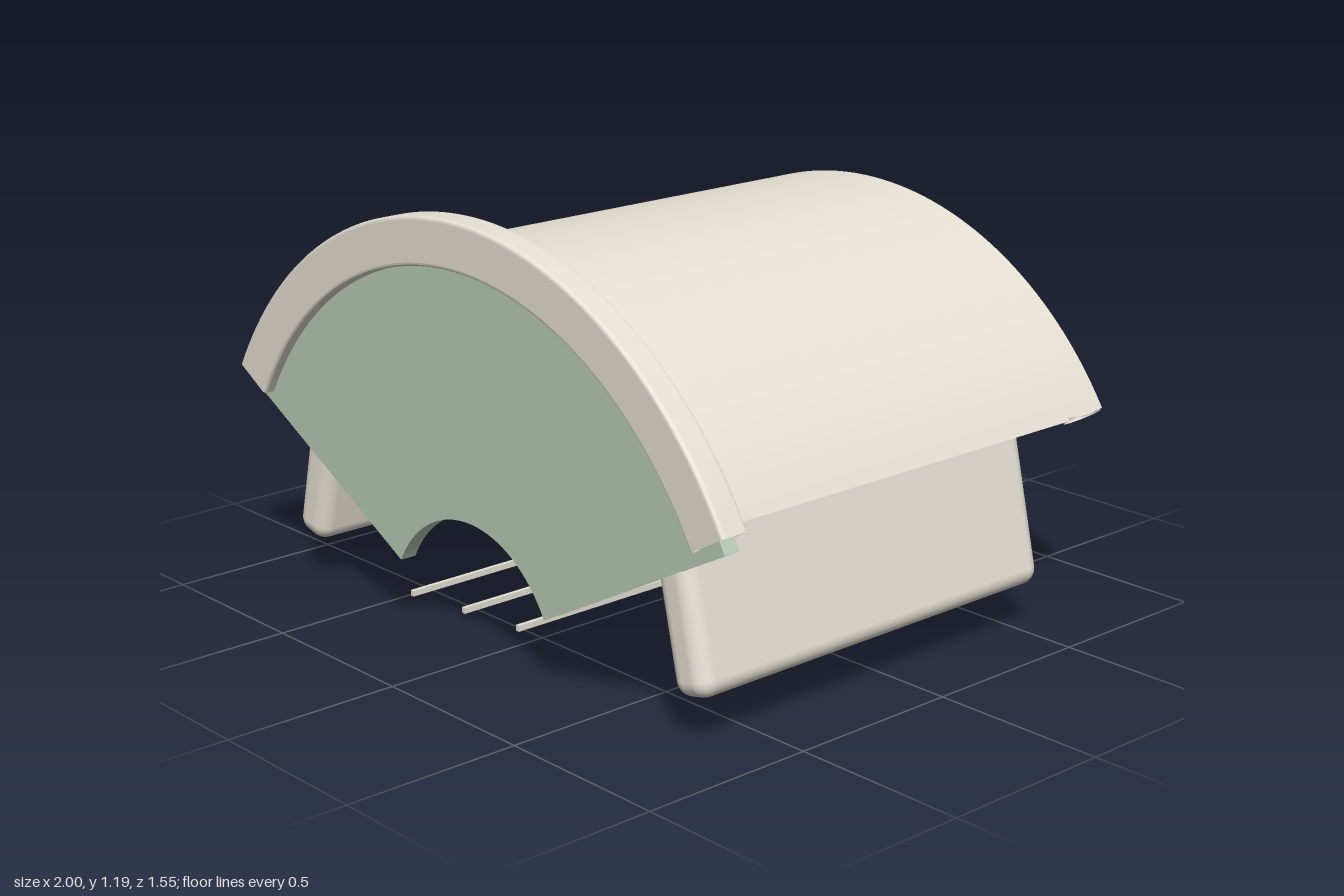
import * as THREE from 'three';
import { toCreasedNormals } from 'three/addons/utils/BufferGeometryUtils.js';
import { RoundedBoxGeometry } from 'three/addons/geometries/RoundedBoxGeometry.js';

const mat = (name, color, side = THREE.FrontSide) =>
  Object.assign(new THREE.MeshStandardMaterial({ color, side }), { name });
const DEG = Math.PI / 180;
const CENTRE_Y = 0.04; // shared centre of every arch

export function createModel() {
  const group = new THREE.Group();
  const cream = mat('cream', 0xe6e0d3, THREE.DoubleSide);
  const green = mat('sage green', 0xb8cbb5, THREE.DoubleSide);
  const tan = mat('tan', 0xe2c68c);
  const dark = mat('dark brown', 0x2e2220);
  const pale = mat('pale grey', 0xc8c6be);

  const add = (name, geometry, material, x = 0, y = 0, z = 0) => {
    const mesh = new THREE.Mesh(geometry, material);
    mesh.name = name;
    mesh.position.set(x, y, z);
    group.add(mesh);
    return mesh;
  };

  // Arch swept around the z axis, open at both ends, with optional rounded edges
  const arch = (name, inner, outer, half, z0, z1, material, bevel = 0) => {
    const corners = [[outer, z0, 1, -1], [outer, z1, 1, 1], [inner, z1, -1, 1], [inner, z0, -1, -1]];
    const points = [];
    corners.forEach(([r, z, sr, sz], i) => {
      for (let k = 0; k <= (bevel ? 3 : 0); k++) {
        const a = (i - 1) * 90 * DEG + k * 30 * DEG;
        points.push(new THREE.Vector2(
          r - sr * bevel + bevel * Math.cos(a),
          z - sz * bevel + bevel * Math.sin(a)));
      }
    });
    points.push(points[0].clone());
    const geo = new THREE.LatheGeometry(points, 64, Math.PI - half * DEG, 2 * half * DEG);
    geo.rotateX(Math.PI / 2);
    return add(name, toCreasedNormals(geo, 0.2), material, 0, CENTRE_Y, 0);
  };

  // Thin rod bent through straight pieces
  const bentRod = (name, points, radius, material) => {
    const path = new THREE.CurvePath();
    const v = points.map(p => new THREE.Vector3(...p));
    for (let i = 1; i < v.length; i++) path.add(new THREE.LineCurve3(v[i - 1], v[i]));
    return add(name, new THREE.TubeGeometry(path, 48, radius, 8), material);
  };

  // Shell
  arch('roof', 0.98, 1.06, 58, -0.72, 0.69, cream);
  arch('roofLining', 0.925, 0.975, 54.5, -0.55, 0.69, cream);
  arch('frontRim', 1.02, 1.152, 60.2, 0.69, 0.772, cream, 0.01);
  arch('frontPanel', 0.343, 1.1, 62, 0.692, 0.74, green);
  const half = 58 * DEG;
  add('rearRoll', new THREE.TorusGeometry(0.98, 0.053, 16, 64, 2 * half), cream, 0, CENTRE_Y, -0.722)
    .rotation.z = Math.PI / 2 - half;

  // Leaning side walls
  for (const s of [-1, 1]) {
    add('sideWall', new RoundedBoxGeometry(0.123, 0.525, 1.245, 4, 0.045), cream, s * 0.746, 0.383, 0.078)
      .rotation.z = s * 0.227;
  }

  // Small pin on the roof by the rim
  add('roofPin', new RoundedBoxGeometry(0.11, 0.03, 0.012, 2, 0.005), pale, 0.155, 1.095, 0.657);

  // Three long floor rods
  for (let i = 0; i < 3; i++) {
    add('floorRod', new THREE.BoxGeometry(0.012, 0.017, 1.07), cream, -0.47 + i * 0.235, 0.017 + i * 0.0165, 0.05);
  }

  // Upright dark disc
  add('disc', new THREE.CylinderGeometry(0.1, 0.1, 0.016, 40), dark, -0.49, 0.1, -0.065)
    .rotation.x = Math.PI / 2;

  // Pads with a plate on top
  for (const [x, y, z] of [[-0.295, 0.075, -0.262], [-0.03, 0.081, -0.355]]) {
    add('pad', new RoundedBoxGeometry(0.187, 0.022, 0.265, 3, 0.01), tan, x, y, z);
    add('padPlate', new RoundedBoxGeometry(0.14, 0.012, 0.21, 2, 0.005), pale, x, y + 0.021, z);
  }

  // Row of small plates
  for (let i = 0; i < 3; i++) {
    add('button', new RoundedBoxGeometry(0.08, 0.014, 0.095, 2, 0.005), green, 0.625, 0.128, 0.1 - i * 0.145);
  }

  // Zigzag rods
  const y = 0.122;
  bentRod('zigzagRod', [[0.21, y, -0.16], [0.03, y, -0.28], [-0.17, y, -0.15], [-0.36, y, -0.25], [-0.6, y, -0.13]], 0.008, green);
  bentRod('zigzagRod', [[0.235, y, -0.04], [0, y, -0.165], [-0.25, y, -0.01], [-0.41, y, -0.08], [-0.6, y, 0.0]], 0.008, green);
  bentRod('innerZigzagRod', [[0.19, 0.6, 0.165], [-0.03, 0.6, 0.03], [-0.28, 0.62, 0.12], [-0.35, 0.62, 0.07]], 0.012, tan);

  // Fittings inside the hood
  add('innerDrum', new THREE.CylinderGeometry(0.19, 0.19, 0.12, 40), green, -0.25, 0.65, 0.64)
    .rotation.x = Math.PI / 2;
  add('innerBox', new RoundedBoxGeometry(0.57, 0.15, 0.24, 4, 0.04), green, -0.31, 0.625, 0.48);
  add('innerBlock', new RoundedBoxGeometry(0.22, 0.13, 0.12, 4, 0.03), cream, -0.35, 0.86, 0.6);
  add('innerKnob', new THREE.CylinderGeometry(0.1, 0.1, 0.13, 32), tan, -0.49, 0.535, -0.015);
  add('smallKnob', new THREE.CylinderGeometry(0.075, 0.075, 0.08, 24), tan, -0.455, 0.5, 0.5);

  return group;
}
